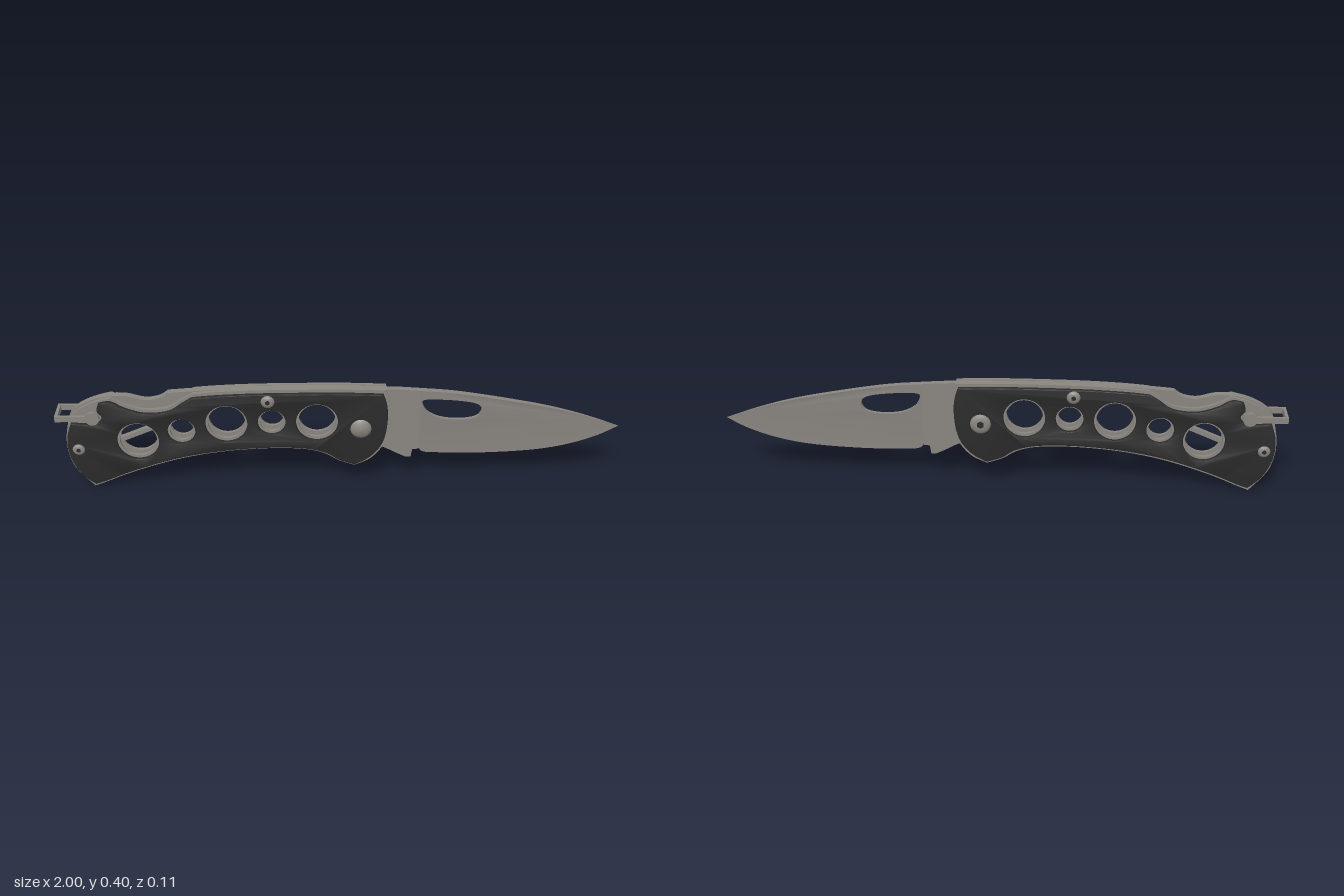
import * as THREE from 'three';
import { toCreasedNormals } from 'three/addons/utils/BufferGeometryUtils.js';

const steel = new THREE.MeshStandardMaterial({ color: 0x8a8680 });
steel.name = 'steel';
const black = new THREE.MeshStandardMaterial({ color: 0x2c2c2c });
black.name = 'black';

// closed outline from smooth runs that meet at sharp corners
function outline(...runs) {
  const pts = [];
  for (const run of runs) {
    const curve = new THREE.SplineCurve(run.map(p => new THREE.Vector2(...p)));
    pts.push(...curve.getPoints((run.length - 1) * 6).slice(0, -1));
  }
  return new THREE.Shape(pts);
}

// extrude centred on z = 0
function slab(shape, depth, bevel = 0) {
  const geo = new THREE.ExtrudeGeometry(shape, {
    depth: depth - 2 * bevel, curveSegments: 40, bevelEnabled: bevel > 0,
    bevelThickness: bevel, bevelSize: bevel, bevelOffset: -bevel, bevelSegments: 2,
  });
  geo.translate(0, 0, bevel - depth / 2);
  return toCreasedNormals(geo, 0.45);
}

function add(parent, name, geo, mat, x = 0, y = 0, z = 0) {
  const mesh = new THREE.Mesh(geo, mat);
  mesh.name = name;
  mesh.position.set(x, y, z);
  parent.add(mesh);
  return mesh;
}

// five lightening holes: x, y, large or small
const HOLES = [[-0.714, 0.196, 1], [-0.558, 0.236, 0], [-0.398, 0.266, 1], [-0.238, 0.271, 0], [-0.078, 0.27, 1]];
function drill(shape, large, small) {
  for (const [x, y, big] of HOLES) {
    shape.holes.push(new THREE.Path().absarc(x, y, big ? large : small, 0, Math.PI * 2, true));
  }
  return shape;
}

function scaleShape() {
  return drill(outline(
    [[-0.88, 0.014], [-0.84, 0.028], [-0.74, 0.07], [-0.58, 0.122], [-0.42, 0.152], [-0.26, 0.165], [-0.13, 0.162], [-0.05, 0.143], [0, 0.112], [0.055, 0.092]],
    [[0.055, 0.092], [0.105, 0.12], [0.145, 0.165], [0.165, 0.22], [0.172, 0.29], [0.168, 0.34], [0.155, 0.382]],
    [[0.155, 0.382], [0, 0.387], [-0.26, 0.386], [-0.42, 0.38], [-0.515, 0.372]],
    [[-0.515, 0.372], [-0.55, 0.35], [-0.6, 0.318], [-0.68, 0.31], [-0.75, 0.33], [-0.8, 0.357], [-0.842, 0.352]],
    [[-0.842, 0.352], [-0.85, 0.32], [-0.835, 0.295], [-0.855, 0.27], [-0.9, 0.268], [-0.945, 0.272]],
    [[-0.945, 0.272], [-0.962, 0.22], [-0.965, 0.16], [-0.95, 0.1], [-0.92, 0.05], [-0.88, 0.014]],
  ), 0.074, 0.049);
}

function linerShape() {
  return drill(outline(
    [[-0.885, 0], [-0.84, 0.018], [-0.74, 0.06], [-0.58, 0.112], [-0.42, 0.143], [-0.26, 0.156], [-0.13, 0.153], [-0.055, 0.135], [0, 0.103], [0.055, 0.083]],
    [[0.055, 0.083], [0.11, 0.11], [0.153, 0.16], [0.175, 0.22], [0.182, 0.29], [0.178, 0.345], [0.165, 0.392]],
    [[0.165, 0.392], [0, 0.397], [-0.26, 0.396], [-0.42, 0.39], [-0.51, 0.383]],
    [[-0.51, 0.383], [-0.55, 0.36], [-0.6, 0.328], [-0.68, 0.32], [-0.75, 0.34], [-0.8, 0.367]],
    [[-0.8, 0.367], [-0.86, 0.35], [-0.92, 0.318], [-0.955, 0.27], [-0.97, 0.18], [-0.957, 0.1], [-0.928, 0.05], [-0.885, 0]],
  ), 0.066, 0.042);
}

// back lock bar that wraps down around the butt
function lockBarShape() {
  return outline(
    [[0.15, 0.392], [-0.2, 0.395], [-0.45, 0.39], [-0.6, 0.38]],
    [[-0.6, 0.38], [-0.63, 0.36], [-0.68, 0.352], [-0.74, 0.367], [-0.78, 0.37]],
    [[-0.78, 0.37], [-0.85, 0.36], [-0.92, 0.326], [-0.955, 0.28], [-0.967, 0.18], [-0.954, 0.1], [-0.925, 0.05], [-0.885, 0.006]],
    [[-0.885, 0.006], [-0.84, 0.03]],
    [[-0.84, 0.03], [-0.815, 0.1], [-0.805, 0.2], [-0.78, 0.265], [-0.72, 0.287], [-0.65, 0.295], [-0.5, 0.335], [-0.4, 0.343], [0, 0.345], [0.15, 0.33]],
    [[0.15, 0.33], [0.15, 0.392]],
  );
}

// blade: flat ricasso plus a wedge ground down to the edge
const EDGE = [[0.285, 0.142], [0.3, 0.125], [0.34, 0.12], [0.49, 0.117], [0.68, 0.127], [0.81, 0.149], [0.92, 0.186], [0.998, 0.228]];
function buildBlade(parent) {
  const half = 0.011;
  const blade = new THREE.Group();
  blade.name = 'blade';
  parent.add(blade);
  const tang = outline(
    [[0.285, 0.382], [0.174, 0.389], [0.02, 0.388]],
    [[0.02, 0.388], [0.015, 0.3], [0.03, 0.21], [0.09, 0.17], [0.158, 0.15], [0.2, 0.128], [0.24, 0.108]],
    [[0.24, 0.108], [0.258, 0.108]],
    [[0.258, 0.108], [0.263, 0.14]],
    [[0.263, 0.14], [0.285, 0.142]],
    [[0.285, 0.142], [0.285, 0.382]],
  );
  add(blade, 'ricasso', slab(tang, half * 2), steel);

  const wedge = outline(
    EDGE,
    [[0.998, 0.228], [0.86, 0.277], [0.7, 0.319], [0.435, 0.367], [0.285, 0.382]],
    [[0.285, 0.382], [0.285, 0.142]],
  );
  wedge.holes.push(new THREE.Path(outline([[0.292, 0.335], [0.31, 0.346], [0.4, 0.343], [0.48, 0.33], [0.505, 0.305], [0.488, 0.272], [0.43, 0.261], [0.36, 0.268], [0.31, 0.295], [0.292, 0.335]]).getPoints()));
  const geo = slab(wedge, half * 2);
  const pos = geo.attributes.position;
  const edgeAt = x => {
    let i = 1;
    while (i < EDGE.length - 1 && x > EDGE[i][0]) i++;
    const [[x0, y0], [x1, y1]] = [EDGE[i - 1], EDGE[i]];
    return y0 + (y1 - y0) * (x - x0) / (x1 - x0);
  };
  for (let i = 0; i < pos.count; i++) {
    const t = (pos.getY(i) - edgeAt(pos.getX(i))) / 0.24;
    pos.setZ(i, pos.getZ(i) * THREE.MathUtils.clamp(t, 0.06, 1));
  }
  add(blade, 'groundBlade', toCreasedNormals(geo, 0.3), steel);
}

// domed fastener head on one side of the handle, with optional hex recess
function head(parent, name, x, y, r, tip, side, recess) {
  const base = 0.034;
  const h = tip - base;
  const profile = recess
    ? [[r, 0], [r, h * 0.45], [r * 0.8, h * 0.8], [r * 0.5, h], [0, h]]
    : [[r, 0], [r, h * 0.35], [r * 0.7, h * 0.68], [r * 0.35, h * 0.9], [0, h]];
  const geo = new THREE.LatheGeometry(profile.map(p => new THREE.Vector2(...p)), 28);
  geo.rotateX(side * Math.PI / 2);
  add(parent, name, geo, steel, x, y, side * base);
  if (recess) {
    const hex = new THREE.CylinderGeometry(r * 0.38, r * 0.38, 0.002, 6).rotateX(Math.PI / 2);
    add(parent, name + 'Recess', hex, black, x, y, side * tip);
  }
}

export function createModel() {
  const model = new THREE.Group();
  model.name = 'foldingKnife';
  const knife = new THREE.Group();
  knife.name = 'knife';
  knife.rotation.y = -0.0085;
  knife.position.z = 0.0015;
  model.add(knife);

  // handle layers and fasteners, mirrored front and back
  for (const side of [1, -1]) {
    const end = side > 0 ? 'front' : 'back';
    add(knife, end + 'Liner', slab(linerShape(), 0.012), steel, 0, 0, side * 0.0185);
    add(knife, end + 'Scale', slab(scaleShape(), 0.0145, 0.004), black, 0, 0, side * 0.0315);
    head(knife, end + 'TopScrew', -0.25, 0.357, 0.024, 0.047, side, true);
    head(knife, end + 'ButtScrew', -0.927, 0.164, 0.022, 0.045, side, true);
    head(knife, end + 'Pivot', 0.077, 0.245, 0.037, side > 0 ? 0.052 : 0.047, side, side < 0);
  }
  add(knife, 'lockBar', slab(lockBarShape(), 0.025), steel);
  buildBlade(knife);

  // lock spring seen through the rear hole
  const spring = add(knife, 'lockSpring', new THREE.BoxGeometry(0.2, 0.016, 0.02), steel, -0.71, 0.215, 0);
  spring.rotation.z = 0.4;

  // lanyard bail: two arms, a cross bar and an axle
  const bail = new THREE.Group();
  bail.name = 'lanyardBail';
  bail.position.set(0, 0.292, -0.004);
  knife.add(bail);
  for (const side of [1, -1]) {
    add(bail, 'bailArm', new THREE.BoxGeometry(0.135, 0.022, 0.01), steel, -0.9325, 0, side * 0.041);
    add(bail, 'bailEye', new THREE.CylinderGeometry(0.025, 0.025, 0.012, 24).rotateX(Math.PI / 2), steel, -0.868, 0, side * 0.041);
  }
  add(bail, 'bailCrossBar', new THREE.BoxGeometry(0.011, 0.022, 0.092), steel, -0.9945, 0, 0);
  add(bail, 'bailAxle', new THREE.CylinderGeometry(0.014, 0.014, 0.08, 20).rotateX(Math.PI / 2), steel, -0.868, 0, 0);
  return model;
}
